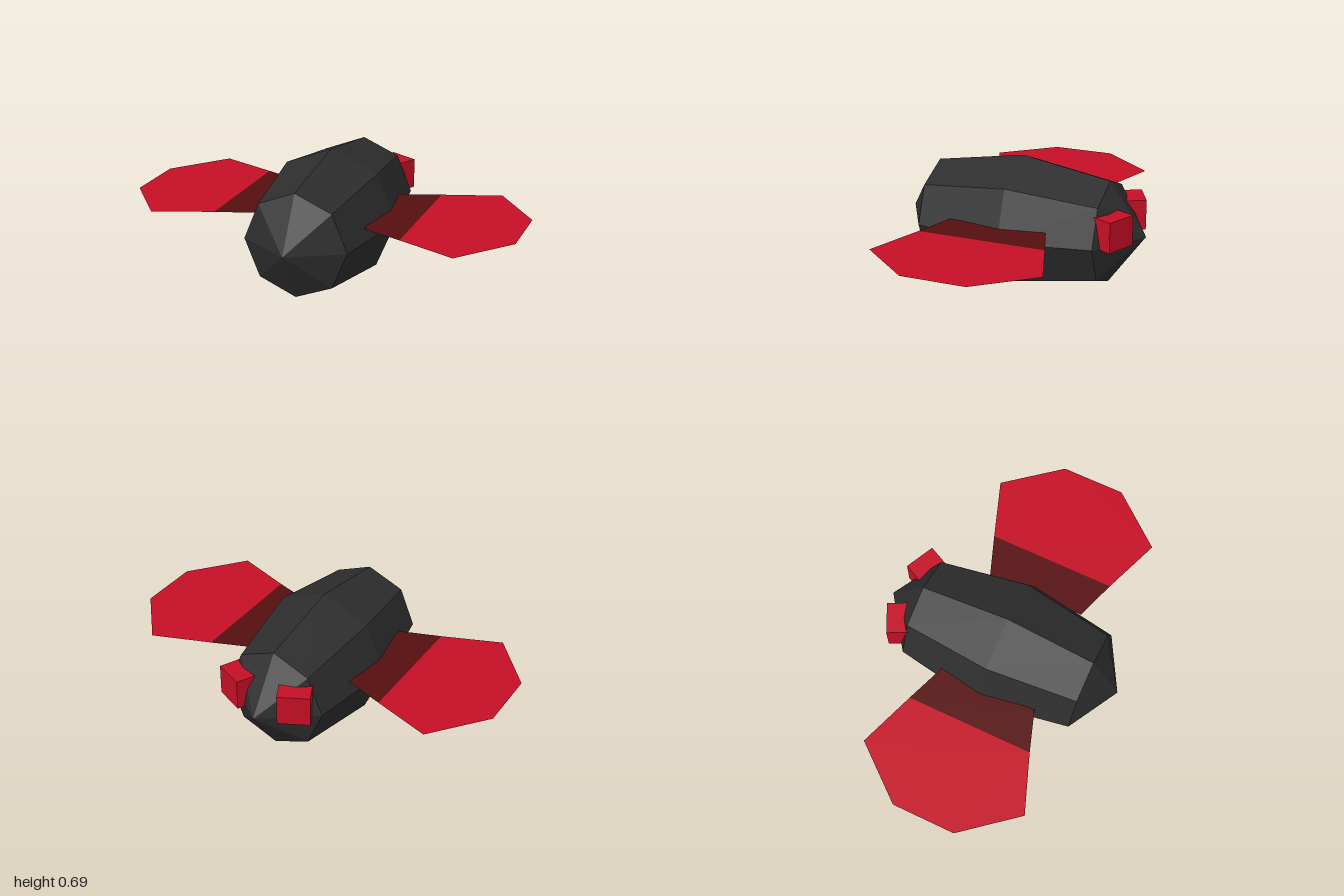
import * as THREE from 'three';

const mat = (name, color, extra = {}) =>
  Object.assign(new THREE.MeshStandardMaterial({ color, flatShading: true, ...extra }), { name });

export function createModel() {
  const model = new THREE.Group();
  model.name = 'wingedBug';
  const shell = mat('charcoal', 0x2d2d2d);
  const red = mat('red', 0xc40f25, { side: THREE.DoubleSide });
  const darkRed = mat('darkRed', 0x560f0f, { side: THREE.DoubleSide });

  const add = (name, geometry, material) => {
    const mesh = new THREE.Mesh(geometry, material);
    mesh.name = name;
    model.add(mesh);
    return mesh;
  };

  // Eight-sided body, pointed at both ends and lying along z
  const profile = [[0, -0.63], [0.267, -0.44], [0.345, 0.02], [0.267, 0.48], [0, 0.63]]
    .map(([r, z]) => new THREE.Vector2(r, z));
  const body = add('body', new THREE.LatheGeometry(profile, 8).rotateX(Math.PI / 2), shell);
  body.position.y = 0.347;

  // Flat panel from an outline in (x, z)
  const panel = (outline, side) => new THREE.ShapeGeometry(
    new THREE.Shape(outline.map(([x, z]) => new THREE.Vector2(x * side, z)))
  ).rotateX(Math.PI / 2);

  const wingRoot = [[0.28, -0.21], [0.485, -0.285], [0.485, 0.37], [0.28, 0.3]];
  const wingTip = [[0.485, -0.285], [0.778, -0.388], [1, -0.115], [1, 0.21], [0.778, 0.48], [0.485, 0.37]];

  for (const side of [1, -1]) {
    const label = side > 0 ? 'left' : 'right';

    // Wing with a dark band at its root
    add(label + 'WingRoot', panel(wingRoot, side), darkRed).position.y = 0.41;
    add(label + 'WingTip', panel(wingTip, side), red).position.y = 0.41;

    // Square block set at an angle into the rear cone
    const block = add(label + 'RearBlock', new THREE.BoxGeometry(0.16, 0.155, 0.14), red);
    block.position.set(0.153 * side, 0.418, -0.497);
    block.rotation.y = -0.45 * side;
  }
  return model;
}
